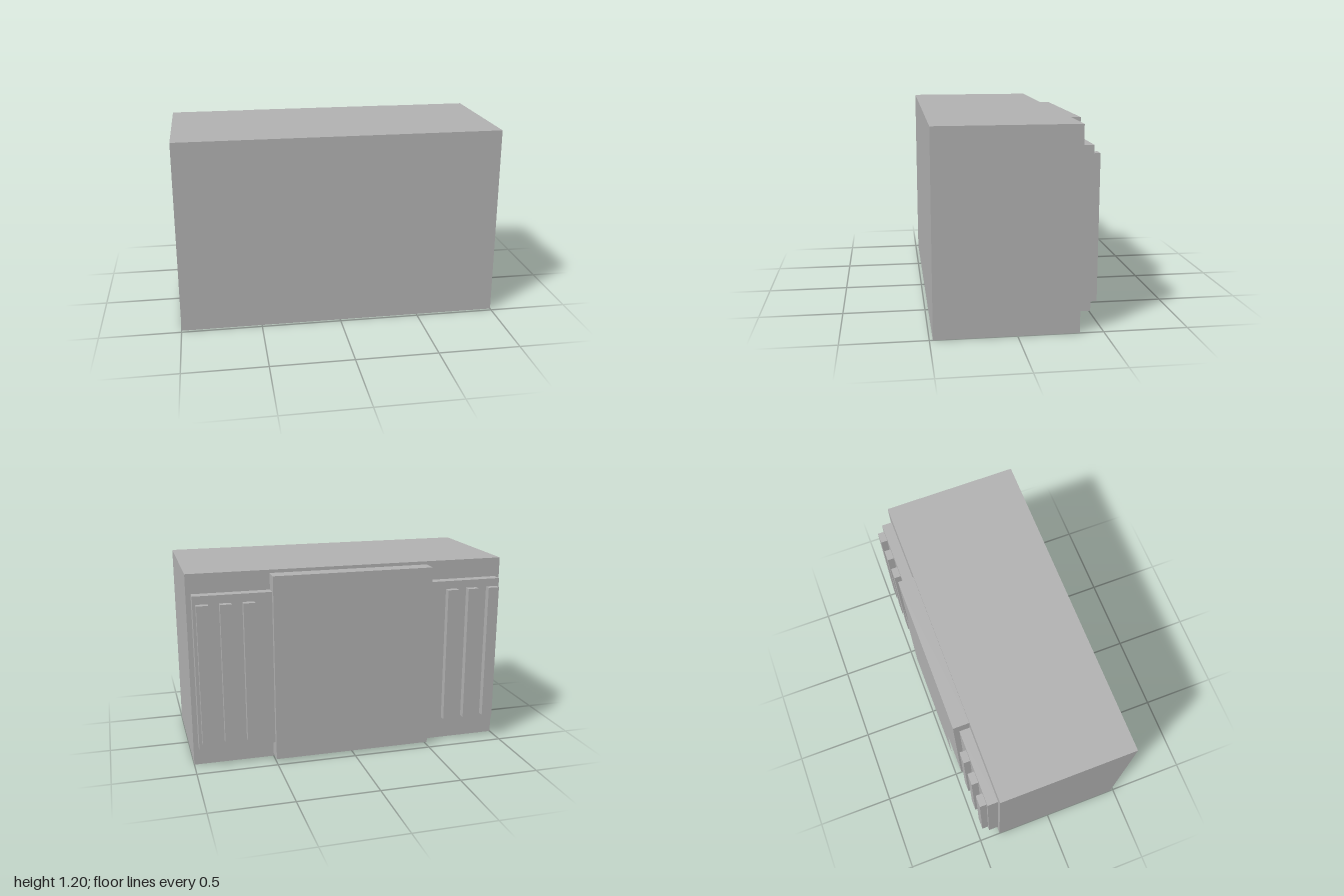
import * as THREE from 'three';

export function createModel() {
  const model = new THREE.Group();
  model.name = 'cabinet';
  const grey = new THREE.MeshStandardMaterial({ color: 0xb2b2b2 });
  grey.name = 'grey';

  // Box given by its extents along each axis
  function addBox(name, x0, x1, y0, y1, z0, z1) {
    const mesh = new THREE.Mesh(new THREE.BoxGeometry(x1 - x0, y1 - y0, z1 - z0), grey);
    mesh.position.set((x0 + x1) / 2, (y0 + y1) / 2, (z0 + z1) / 2);
    mesh.name = name;
    model.add(mesh);
  }

  // Main block and the raised panel on its back
  addBox('body', -1, 1, 0, 1.2, -0.36, 0.48);
  addBox('centrePanel', -0.5, 0.5, 0.02, 1.18, -0.46, -0.36);

  // Thin sheet standing just off the centre panel, facing backwards
  const sheet = new THREE.Mesh(new THREE.PlaneGeometry(0.75, 0.92), grey);
  sheet.rotation.y = Math.PI;
  sheet.position.set(0, 0.6, -0.48);
  sheet.name = 'centreSheet';
  model.add(sheet);

  // Side panels, each with three upright ribs
  for (const [side, s] of [['left', 1], ['right', -1]]) {
    const span = (a, b) => (s > 0 ? [a, b] : [-b, -a]);
    addBox(side + 'Panel', ...span(0.5, 0.97), 0.12, 1.08, -0.425, -0.36);
    [0.643, 0.78, 0.917].forEach((x, i) =>
      addBox(side + 'Rib' + (i + 1), ...span(x - 0.035, x + 0.035), 0.17, 1.03, -0.466, -0.425));
  }
  return model;
}
